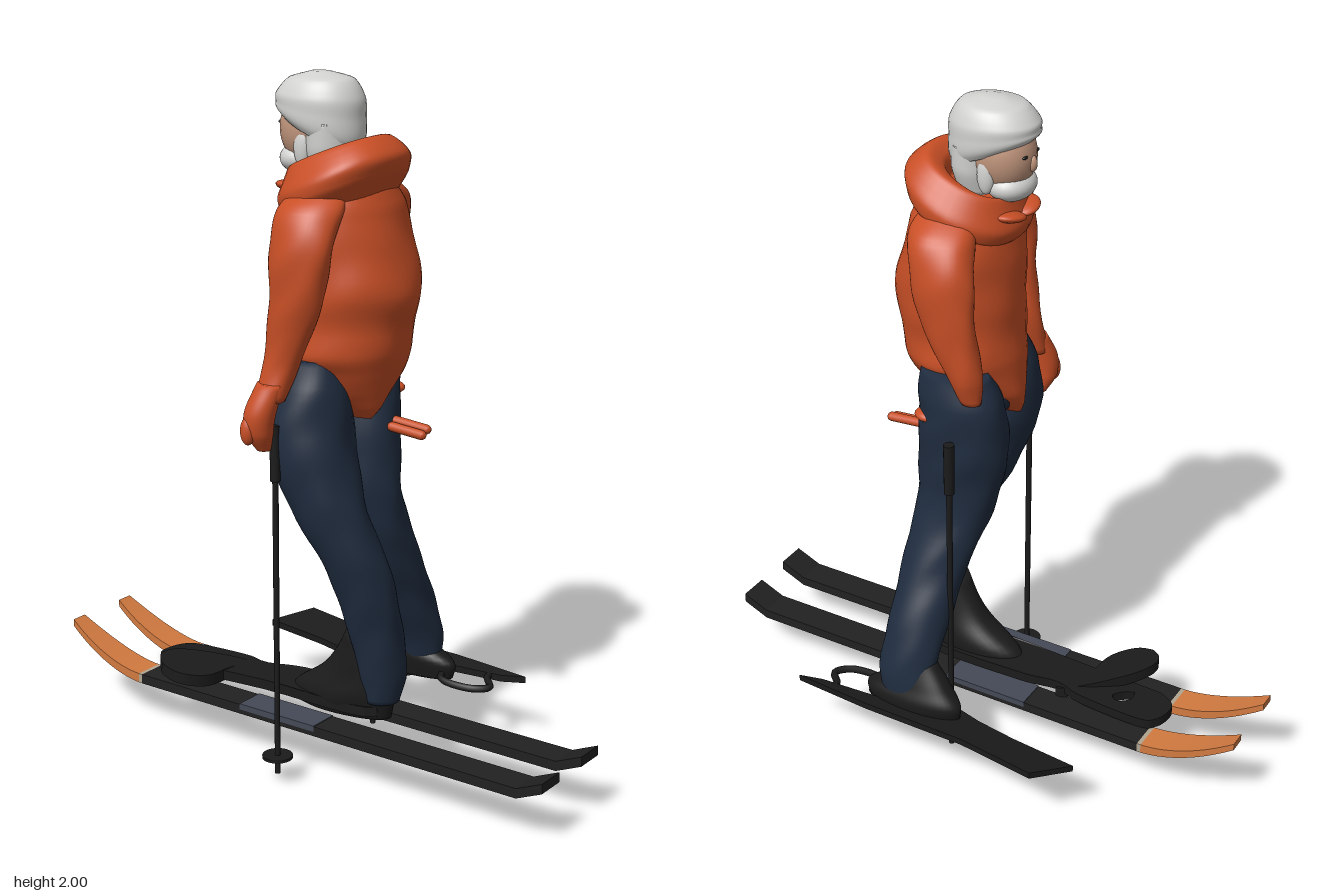
import * as THREE from 'three';

const mat = (name, color, side = THREE.FrontSide) => {
  const m = new THREE.MeshStandardMaterial({ color, side });
  m.name = name;
  return m;
};

export function createModel() {
  const model = new THREE.Group();
  model.name = 'skier';
  const jacket = mat('jacket orange', 0xc84f26);
  const navy = mat('trouser navy', 0x202d40);
  const white = mat('hair white', 0xd2d2d0);
  const skin = mat('skin', 0xc0957c);
  const black = mat('boot black', 0x1b1b1c, THREE.DoubleSide);
  const skiBlack = mat('ski black', 0x212122);
  const skiOrange = mat('ski tip orange', 0xd27a40);
  const slate = mat('binding slate', 0x444956);
  const cream = mat('ski stripe', 0xb0a590);

  const add = (name, geo, material, parent = model) => {
    const m = new THREE.Mesh(geo, material);
    m.name = name;
    parent.add(m);
    return m;
  };

  // Smooth skin over elliptical rings [x, y, z, rx, rz, tilt], lowest ring first.
  // tilt raises the +z side of a ring, fold adds cloth creases, power < 1 squares the rings.
  function loft(rings, { fold = 0, power = 1 } = {}) {
    const sides = 40, steps = 6;
    const mid = new THREE.CatmullRomCurve3(rings.map(r => new THREE.Vector3(r[0], r[1], r[2])));
    const rad = new THREE.CatmullRomCurve3(rings.map(r => new THREE.Vector3(r[3], r[4], r[5] ?? 0)));
    const count = (rings.length - 1) * steps;
    const pos = [], idx = [];
    const round = v => Math.sign(v) * Math.pow(Math.abs(v), power);
    for (let i = 0; i <= count; i++) {
      const c = mid.getPoint(i / count), r = rad.getPoint(i / count);
      for (let j = 0; j < sides; j++) {
        const a = j / sides * Math.PI * 2;
        const k = 1 + fold * (Math.sin(c.y * 42 + 2.2 * Math.sin(a * 2)) + 0.6 * Math.sin(a * 5 + c.y * 23));
        const dz = round(Math.sin(a)) * Math.max(r.y, 0.002) * k;
        pos.push(c.x + round(Math.cos(a)) * Math.max(r.x, 0.002) * k, c.y + r.z * dz, c.z + dz);
        if (i < count) {
          const n = (j + 1) % sides, p = i * sides, q = p + sides;
          idx.push(p + j, q + j, p + n, p + n, q + j, q + n);
        }
      }
    }
    // End caps
    const lo = mid.getPoint(0), hi = mid.getPoint(1), b = pos.length / 3;
    pos.push(lo.x, lo.y, lo.z, hi.x, hi.y, hi.z);
    for (let j = 0; j < sides; j++) {
      const n = (j + 1) % sides, t = count * sides;
      idx.push(b, j, n, b + 1, t + n, t + j);
    }
    const g = new THREE.BufferGeometry();
    g.setAttribute('position', new THREE.Float32BufferAttribute(pos, 3));
    g.setIndex(idx);
    g.computeVertexNormals();
    return g;
  }

  const ball = (name, [x, y, z], [rx, ry, rz], material) => {
    const m = add(name, new THREE.SphereGeometry(1, 28, 20), material);
    m.position.set(x, y, z);
    m.scale.set(rx, ry, rz);
    return m;
  };

  // Flat plate from an [x, z] outline, height given by a rule
  function plate(name, outline, thick, height, { hole, smooth } = {}) {
    const points = list => {
      const v = list.map(p => new THREE.Vector2(p[0], p[1]));
      return smooth ? new THREE.SplineCurve([...v, v[0]]).getPoints(60).slice(0, -1) : v;
    };
    const shape = new THREE.Shape(points(outline));
    if (hole) shape.holes.push(new THREE.Path(points(hole)));
    const g = new THREE.ExtrudeGeometry(shape, { depth: thick, bevelEnabled: false }).rotateX(Math.PI / 2);
    const p = g.attributes.position;
    for (let i = 0; i < p.count; i++) p.setY(i, p.getY(i) + height(p.getX(i), p.getZ(i)));
    g.computeVertexNormals();
    add(name, g, black);
  }

  // Jacket: body with a rounded point at the hem, front and back
  add('jacketBody', loft([
    [-0.1, 1.055, 0.065, 0.02, 0.128], [-0.098, 1.085, 0.072, 0.06, 0.145], [-0.09, 1.13, 0.08, 0.105, 0.158],
    [-0.082, 1.19, 0.094, 0.15, 0.168], [-0.08, 1.25, 0.103, 0.182, 0.173], [-0.08, 1.32, 0.11, 0.178, 0.175],
    [-0.08, 1.42, 0.122, 0.188, 0.185], [-0.08, 1.55, 0.107, 0.19, 0.168], [-0.085, 1.65, 0.1, 0.18, 0.15],
    [-0.09, 1.73, 0.1, 0.12, 0.12]], { fold: 0.009 }), jacket);
  add('leftSleeve', loft([
    [0.115, 1.18, -0.025, 0.025, 0.03], [0.12, 1.26, -0.01, 0.045, 0.052], [0.13, 1.4, 0.035, 0.052, 0.08],
    [0.125, 1.55, 0.06, 0.062, 0.095], [0.08, 1.65, 0.085, 0.075, 0.095], [0.01, 1.72, 0.1, 0.04, 0.06]], { fold: 0.02 }), jacket);
  add('rightSleeve', loft([
    [-0.33, 1.13, 0.02, 0.04, 0.042], [-0.3, 1.24, 0.04, 0.045, 0.055], [-0.3, 1.4, 0.085, 0.054, 0.08],
    [-0.295, 1.55, 0.1, 0.062, 0.095], [-0.25, 1.65, 0.1, 0.075, 0.095], [-0.18, 1.72, 0.1, 0.04, 0.06]], { fold: 0.02 }), jacket);
  add('rightGlove', loft([
    [-0.34, 0.99, 0.005, 0.02, 0.02], [-0.355, 1.04, 0, 0.038, 0.04], [-0.355, 1.1, 0.005, 0.043, 0.045],
    [-0.33, 1.18, 0.025, 0.036, 0.042]]), jacket);
  ball('rightThumb', [-0.385, 1.05, -0.015], [0.02, 0.04, 0.022], jacket);

  // Hood folded round the neck, high at the back
  add('hood', loft([
    [-0.095, 1.63, 0.105, 0.14, 0.12], [-0.095, 1.68, 0.1, 0.185, 0.16], [-0.095, 1.715, 0.098, 0.188, 0.17],
    [-0.095, 1.76, 0.09, 0.16, 0.15], [-0.095, 1.787, 0.075, 0.13, 0.125], [-0.095, 1.77, 0.06, 0.1, 0.1],
    [-0.095, 1.71, 0.06, 0.09, 0.09]].map(r => [...r, 0.42]), { fold: 0.007, power: 0.9 }), jacket);
  for (const s of [-1, 1]) {
    const flap = ball('collarFlap', [-0.095 + s * 0.045, 1.685, -0.05], [0.05, 0.016, 0.042], jacket);
    flap.rotation.set(0.15, s * -0.4, s * 0.25);
  }

  // Head: hair is one shell, cut high over the brow and low at the nape
  ball('face', [-0.1, 1.845, -0.003], [0.086, 0.11, 0.094], skin);
  ball('nose', [-0.098, 1.832, -0.093], [0.013, 0.024, 0.014], skin);
  ball('beard', [-0.1, 1.762, -0.028], [0.079, 0.047, 0.068], white);
  add('nape', loft([
    [-0.105, 1.73, 0.07, 0.07, 0.06], [-0.105, 1.8, 0.075, 0.092, 0.072], [-0.105, 1.87, 0.075, 0.094, 0.072]]), white);
  add('hair', loft([
    [-0.105, 1.845, 0.03, 0.09, 0.118, -0.4], [-0.105, 1.866, 0.028, 0.102, 0.131, -0.32],
    [-0.105, 1.9, 0.027, 0.105, 0.132, -0.16], [-0.105, 1.945, 0.027, 0.1, 0.125, -0.03],
    [-0.105, 1.982, 0.03, 0.077, 0.094], [-0.105, 2.0, 0.03, 0.02, 0.03]]), white);
  for (const s of [-1, 1]) {
    ball('eye', [-0.1 + s * 0.032, 1.858, -0.087], [0.011, 0.005, 0.006], black);
    ball('sideburn', [-0.1 + s * 0.07, 1.8, 0.012], [0.018, 0.055, 0.026], white);
  }

  // Trousers
  add('leftTrouserLeg', loft([
    [0.26, 0.21, 0.12, 0.05, 0.075], [0.245, 0.3, 0.12, 0.065, 0.088], [0.185, 0.45, 0.11, 0.085, 0.092],
    [0.1, 0.62, 0.1, 0.092, 0.1], [0.035, 0.8, 0.07, 0.093, 0.122], [0.038, 1.0, 0.045, 0.105, 0.137],
    [0.052, 1.15, 0.045, 0.1, 0.127], [0.06, 1.235, 0.06, 0.075, 0.1]], { fold: 0.016 }), navy);
  add('rightTrouserLeg', loft([
    [-0.08, 0.22, 0.22, 0.055, 0.055], [-0.08, 0.3, 0.225, 0.072, 0.068], [-0.107, 0.45, 0.213, 0.077, 0.082],
    [-0.15, 0.62, 0.19, 0.084, 0.095], [-0.195, 0.8, 0.12, 0.098, 0.112], [-0.2, 1.0, 0.062, 0.126, 0.122],
    [-0.196, 1.15, 0.06, 0.104, 0.114], [-0.193, 1.235, 0.07, 0.08, 0.09]], { fold: 0.016 }), navy);
  ball('seat', [-0.075, 1.13, 0.055], [0.12, 0.1, 0.115], navy);

  // Boots
  add('rightBoot', loft([
    [-0.08, 0.165, 0.08, 0.062, 0.17], [-0.08, 0.21, 0.09, 0.072, 0.17], [-0.08, 0.3, 0.15, 0.068, 0.115],
    [-0.09, 0.42, 0.165, 0.055, 0.05]], { fold: 0.014 }), black);
  add('leftBoot', loft([
    [0.26, 0.17, 0.09, 0.05, 0.15], [0.26, 0.215, 0.09, 0.058, 0.16], [0.25, 0.27, 0.07, 0.052, 0.1],
    [0.24, 0.34, 0.07, 0.035, 0.04]], { fold: 0.014 }), black);

  // Flat boards and loose pieces under the feet
  plate('rightFootBoard', [[-0.15, -0.53], [-0.125, -0.575], [-0.09, -0.585], [-0.035, -0.57], [-0.005, -0.52],
    [-0.005, -0.33], [-0.025, -0.24], [0, -0.1], [-0.01, 0.2], [-0.14, 0.2], [-0.145, -0.2]], 0.03,
    (x, z) => 0.208 + 0.05 * Math.min(0, z + 0.1),
    { hole: [[-0.11, -0.46], [-0.09, -0.43], [-0.06, -0.41], [-0.045, -0.435], [-0.075, -0.465]], smooth: true });
  plate('roundFlap', [[-0.275, -0.44], [-0.24, -0.475], [-0.19, -0.475], [-0.13, -0.43], [-0.06, -0.34],
    [-0.018, -0.26], [-0.03, -0.24], [-0.09, -0.3], [-0.2, -0.315], [-0.25, -0.345], [-0.278, -0.39]], 0.035,
    (x, z) => 0.185 - 0.25 * (z + 0.25), { smooth: true });
  plate('leftFootBoard', [[0.285, -0.46], [0.4, -0.38], [0.36, -0.13], [0.358, 0.2], [0.338, 0.45], [0.315, 0.38],
    [0.3, 0.2], [0.22, 0.1], [0.19, 0.02], [0.235, -0.12], [0.26, -0.25]], 0.02,
    (x, z) => 0.193 + 0.2 * (x - 0.3));
  const strap = new THREE.CatmullRomCurve3([[0.29, 0.2, 0.22], [0.215, 0.185, 0.23], [0.21, 0.18, 0.34],
    [0.25, 0.18, 0.38], [0.3, 0.185, 0.34], [0.33, 0.19, 0.34]].map(p => new THREE.Vector3(...p)));
  add('looseStrap', new THREE.TubeGeometry(strap, 30, 0.011, 6), black);

  // Skis: boxes bent up at tip and tail, narrowed at the tip
  function skiPart(z0, z1) {
    const g = new THREE.BoxGeometry(0.092, 0.029, z1 - z0, 1, 1, 16).translate(0, 0.14, (z0 + z1) / 2);
    const p = g.attributes.position;
    for (let i = 0; i < p.count; i++) {
      const z = p.getZ(i);
      const tip = Math.max(0, (-0.56 - z) / 0.29), tail = Math.max(0, (z - 0.77) / 0.08);
      p.setX(i, p.getX(i) * (1 - 0.45 * Math.pow(tip, 2.6)));
      p.setY(i, 0.14 + (p.getY(i) - 0.14) * (1 - 0.25 * tip) + 0.108 * Math.pow(tip, 1.7) + 0.035 * tail);
    }
    g.computeVertexNormals();
    return g;
  }
  for (const x of [-0.192, 0.018]) {
    const ski = new THREE.Group();
    ski.name = x < 0 ? 'rightSki' : 'leftSki';
    ski.position.x = x;
    model.add(ski);
    add('skiBody', skiPart(-0.555, 0.77), skiBlack, ski);
    add('skiTail', skiPart(0.77, 0.85), skiBlack, ski);
    add('skiStripe', skiPart(-0.567, -0.555), cream, ski);
    add('skiTip', skiPart(-0.85, -0.567), skiOrange, ski);
    add('bindingPlate', new THREE.BoxGeometry(0.094, 0.018, 0.27).translate(0, 0.148, -0.04), slate, ski);
  }

  // Poles with baskets and grips
  for (const [name, x, z, y0, top] of [['leftPole', 0.17, 0.015, 0, 1.06], ['rightPole', -0.32, 0.028, 0.025, 1.06]]) {
    const pole = new THREE.Group();
    pole.name = name;
    pole.position.set(x, y0, z);
    model.add(pole);
    const h = top - y0;
    add('shaft', new THREE.CylinderGeometry(0.009, 0.008, h, 12).translate(0, h / 2, 0), black, pole);
    add('grip', new THREE.CylinderGeometry(0.016, 0.015, 0.16, 14).translate(0, h - 0.08, 0), black, pole);
    add('basket', new THREE.CylinderGeometry(0.044, 0.044, 0.008, 20).translate(0, 0.052, 0), black, pole);
  }

  // Loose orange pieces behind the thigh
  for (const [x, y, length] of [[0.04, 1.012, 0.135], [0.015, 1.0, 0.1]]) {
    const rod = add('orangeRod', new THREE.CapsuleGeometry(0.014, length, 4, 10), jacket);
    rod.position.set(x, y, 0.285 - length / 2);
    rod.rotation.x = Math.PI / 2 + 0.08;
  }
  ball('orangePatch', [0.1, 1.093, 0.122], [0.036, 0.018, 0.042], jacket);
  return model;
}
